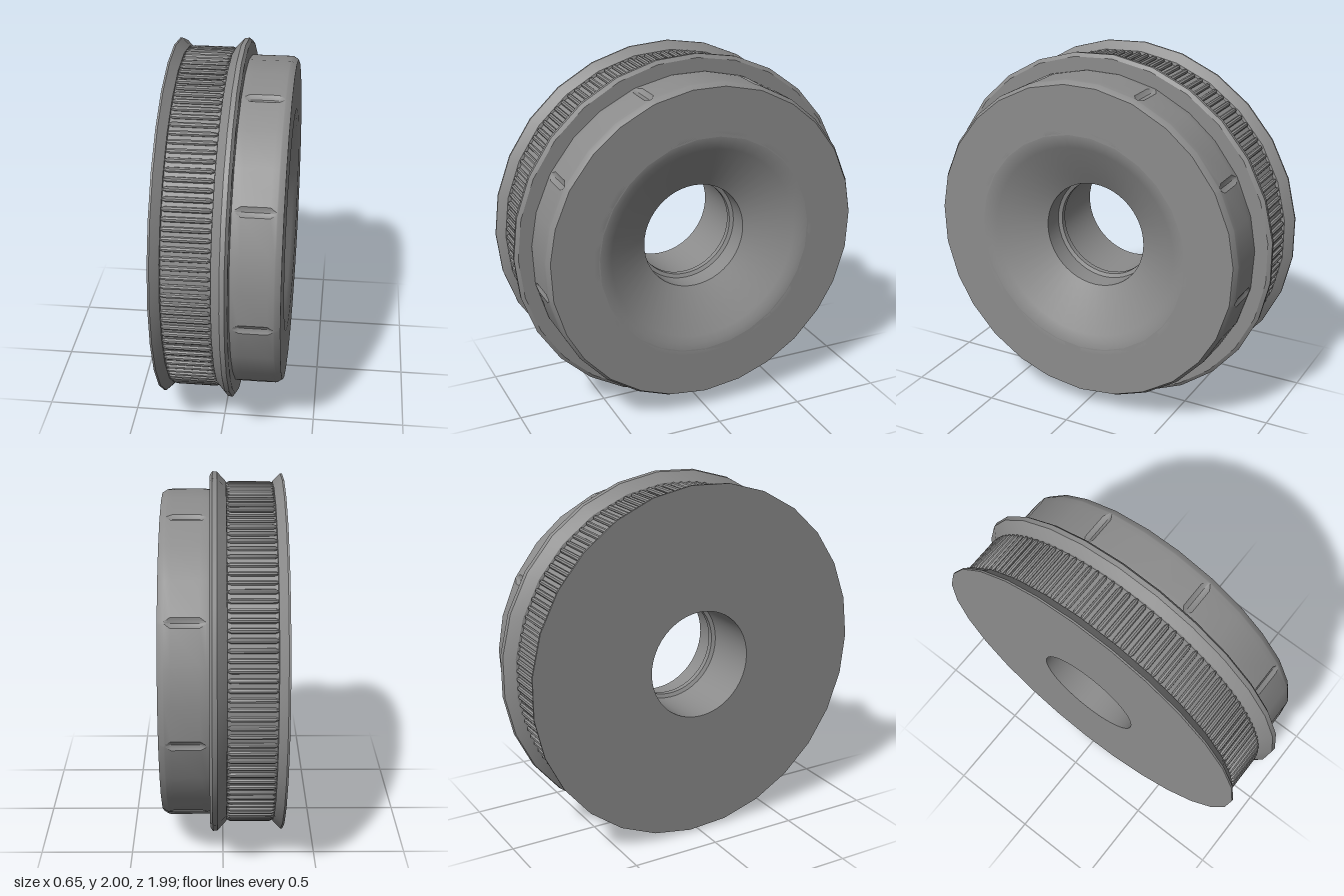
import * as THREE from 'three';
import { toCreasedNormals } from 'three/addons/utils/BufferGeometryUtils.js';

const AXIS_Y = 1;          // height of the wheel's axle
const RIBS = 120;
const MARKS = 9;
const SIDES = 27;          // facets of the flanges
const material = new THREE.MeshStandardMaterial({ color: 0x8c8c8c });

function addMesh(parent, geometry, name) {
  const mesh = new THREE.Mesh(geometry, material);
  mesh.name = name;
  parent.add(mesh);
  return mesh;
}

// Turned part around the x axis; profile points are [x, radius]
function turned(profile, segments) {
  const points = profile.map(([x, r]) => new THREE.Vector2(r, x));
  const geometry = new THREE.LatheGeometry(points, segments);
  geometry.rotateZ(-Math.PI / 2);
  return toCreasedNormals(geometry, 0.4);
}

// Hub shell with shallow, pointed lengthwise marks pressed into its rim
function hubGeometry() {
  const rows = [ // x, radius, share of the mark depth, share of the mark width
    [0.065, 0.905, 0, 0.3], [0.085, 0.908, 0, 0.3], [0.115, 0.908, 1, 1], [0.26, 0.908, 1, 1],
    [0.29, 0.908, 0, 0.3], [0.297, 0.907, 0, 0.3], [0.325, 0.89, 0, 0.3], [0.325, 0.62, 0, 0.3],
  ];
  const markSteps = [[-1.7, 0], [-0.85, 0.65], [0, 1], [0.85, 0.65], [1.7, 0]];
  const plainSteps = [13.9, 26.1];
  const n = MARKS * (markSteps.length + plainSteps.length);
  const positions = [];
  const index = [];
  rows.forEach(([x, radius, depth, width], i) => {
    const steps = [
      ...markSteps.map(([a, d]) => [a * width, d * depth]),
      ...plainSteps.map((a) => [a, 0]),
    ];
    for (let k = 0; k < MARKS; k++) {
      for (const [offset, d] of steps) {
        const a = THREE.MathUtils.degToRad(30.3 + 40 * k + offset);
        const r = radius - 0.013 * d;
        positions.push(x, r * Math.sin(a), r * Math.cos(a));
      }
    }
    if (i === rows.length - 1) return;
    for (let j = 0; j < n; j++) {
      const p = i * n + j;
      const q = i * n + ((j + 1) % n);
      index.push(p, p + n, q, q, p + n, q + n);
    }
  });
  const geometry = new THREE.BufferGeometry();
  geometry.setAttribute('position', new THREE.Float32BufferAttribute(positions, 3));
  geometry.setIndex(index);
  return toCreasedNormals(geometry, 0.5);
}

export function createModel() {
  const model = new THREE.Group();
  model.name = 'ribbedWheel';
  const wheel = new THREE.Group();
  wheel.name = 'wheel';
  wheel.position.y = AXIS_Y;
  model.add(wheel);

  // Back flange with a thin lip and a bevel towards the ribs
  addMesh(wheel, turned([
    [-0.325, 0.5], [-0.325, 0.988], [-0.315, 0.988], [-0.272, 0.945], [-0.268, 0.92],
  ], SIDES), 'backFlange');

  // Front flange, ending in a flat face around the hub
  addMesh(wheel, turned([
    [-0.022, 0.92], [-0.018, 0.945], [0.03, 0.997], [0.055, 1], [0.069, 0.98], [0.069, 0.88],
  ], SIDES), 'frontFlange');

  // Drum under the ribs
  addMesh(wheel, turned([[-0.29, 0.927], [0, 0.927]], 96), 'drum');

  // Ribs with tapered ends
  const ribGeometry = turned([
    [-0.13, 0.002], [-0.122, 0.008], [-0.108, 0.014],
    [0.108, 0.014], [0.122, 0.008], [0.13, 0.002],
  ], 8);
  const ribs = new THREE.Group();
  ribs.name = 'ribs';
  wheel.add(ribs);
  for (let i = 0; i < RIBS; i++) {
    const a = (i / RIBS) * Math.PI * 2;
    const rib = addMesh(ribs, ribGeometry, 'rib');
    rib.position.set(-0.146, 0.932 * Math.sin(a), 0.932 * Math.cos(a));
    rib.rotation.x = -a;
  }

  addMesh(wheel, hubGeometry(), 'hub');

  // Dished front, bore with an inner lip, and the middle of the back face
  addMesh(wheel, turned([
    [0.325, 0.65], [0.325, 0.625], [0.317, 0.585], [0.3, 0.545], [0.16, 0.3],
    [0.045, 0.3], [0.035, 0.28], [0.005, 0.28], [-0.005, 0.3],
    [-0.325, 0.3], [-0.325, 0.52],
  ], 48), 'dishAndBore');

  return model;
}
